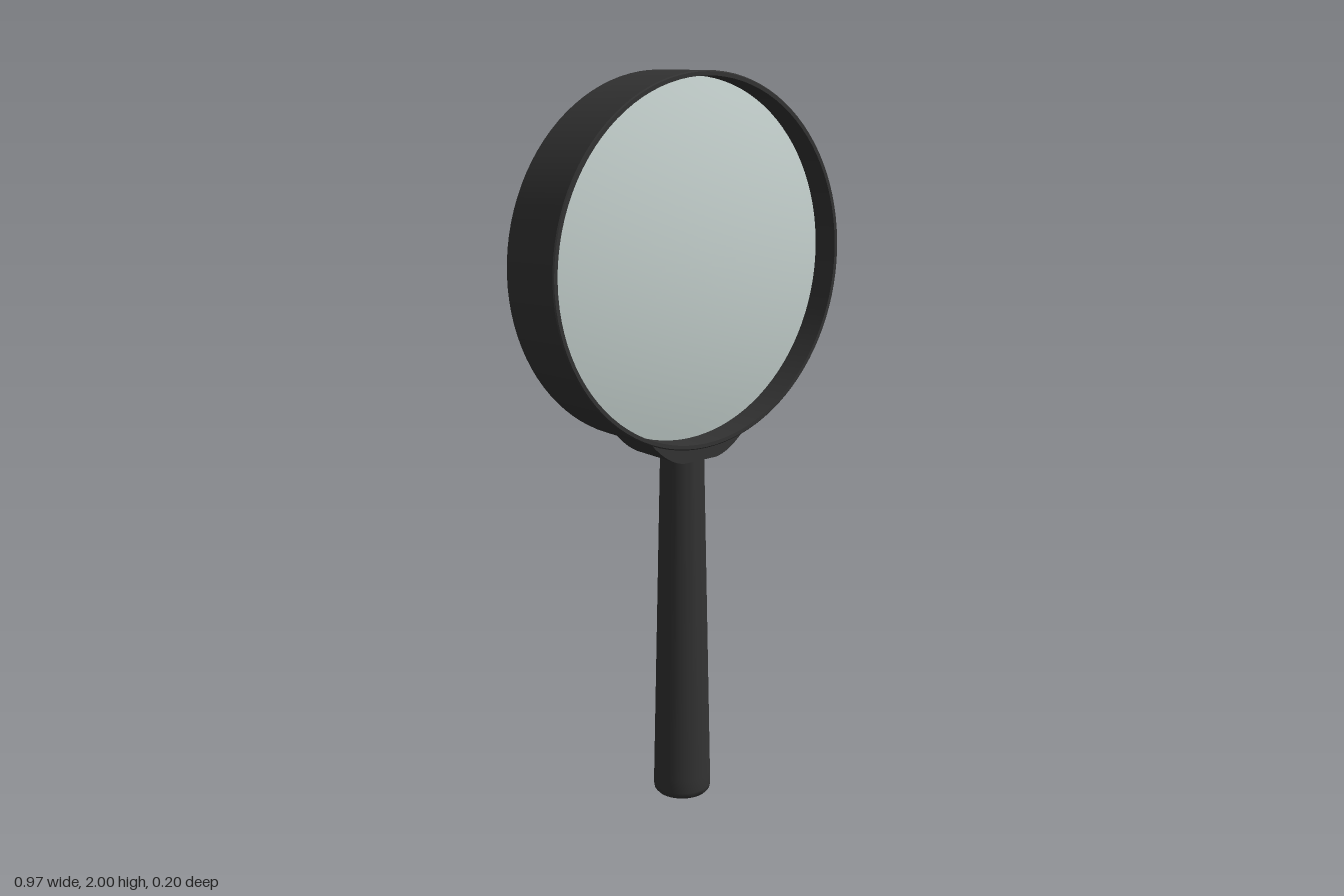
import * as THREE from 'three';
import { toCreasedNormals } from 'three/addons/utils/BufferGeometryUtils.js';

const CENTER_Y = 1.515; // centre of the round frame
const OUTER = 0.485;
const INNER = 0.472;
const HALF_DEPTH = 0.098;

const points = (list) => list.map(([x, y]) => new THREE.Vector2(x, y));

export function createModel() {
  const black = new THREE.MeshStandardMaterial({ color: 0x333333 });
  black.name = 'blackPlastic';
  const glass = new THREE.MeshStandardMaterial({ color: 0xc6d2cf });
  glass.name = 'paleGlass';

  const model = new THREE.Group();
  model.name = 'magnifyingGlass';
  const add = (name, geometry, material) => {
    const mesh = new THREE.Mesh(geometry, material);
    mesh.name = name;
    model.add(mesh);
    return mesh;
  };

  // Thin hoop: closed profile revolved, then turned to face the front
  const hoop = new THREE.LatheGeometry(points([
    [INNER, -HALF_DEPTH], [OUTER - 0.003, -HALF_DEPTH], [OUTER, -HALF_DEPTH + 0.003],
    [OUTER, HALF_DEPTH - 0.003], [OUTER - 0.003, HALF_DEPTH], [INNER, HALF_DEPTH],
    [INNER, -HALF_DEPTH],
  ]), 96);
  hoop.rotateX(Math.PI / 2);
  add('frameRing', toCreasedNormals(hoop, 0.6), black).position.y = CENTER_Y;

  // Biconvex lens, set back from both rims
  const lensProfile = [];
  const EDGE = 0.025, BULGE = 0.055, STEPS = 12;
  const lensZ = (r) => EDGE + BULGE * (1 - (r / INNER) ** 2);
  for (let i = 0; i <= STEPS; i++) {
    const r = (INNER * i) / STEPS;
    lensProfile.push([r, -lensZ(r)]);
  }
  for (let i = STEPS; i >= 0; i--) {
    const r = (INNER * i) / STEPS;
    lensProfile.push([r, lensZ(r)]);
  }
  const lens = new THREE.LatheGeometry(points(lensProfile), 96);
  lens.rotateX(Math.PI / 2);
  add('lens', toCreasedNormals(lens, 0.6), glass).position.y = CENTER_Y;

  // Curved collar cradling the bottom of the ring
  const saddle = new THREE.Shape();
  const spread = 0.37;
  const r = 0.48;
  const sx = Math.sin(spread) * r;
  const sy = CENTER_Y - Math.cos(spread) * r;
  saddle.moveTo(-sx, sy);
  saddle.bezierCurveTo(-0.135, 1.025, -0.1, 1.0, -0.058, 0.992);
  saddle.lineTo(0.058, 0.992);
  saddle.bezierCurveTo(0.1, 1.0, 0.135, 1.025, sx, sy);
  saddle.absarc(0, CENTER_Y, r, -Math.PI / 2 + spread, -Math.PI / 2 - spread, true);
  const collar = new THREE.ExtrudeGeometry(saddle, {
    depth: 0.15, bevelEnabled: false, curveSegments: 20,
  });
  collar.translate(0, 0, -0.075);
  add('collar', toCreasedNormals(collar, 0.6), black);

  // Tapered handle with a rounded butt
  const handle = new THREE.LatheGeometry(points([
    [0, 0.004], [0.06, 0.004], [0.064, 0], [0.073, 0.003], [0.079, 0.01], [0.081, 0.022],
    [0.08, 0.06], [0.06, 0.985], [0.06, 1.02], [0, 1.02],
  ]), 48);
  add('handle', toCreasedNormals(handle, 0.7), black);

  return model;
}
